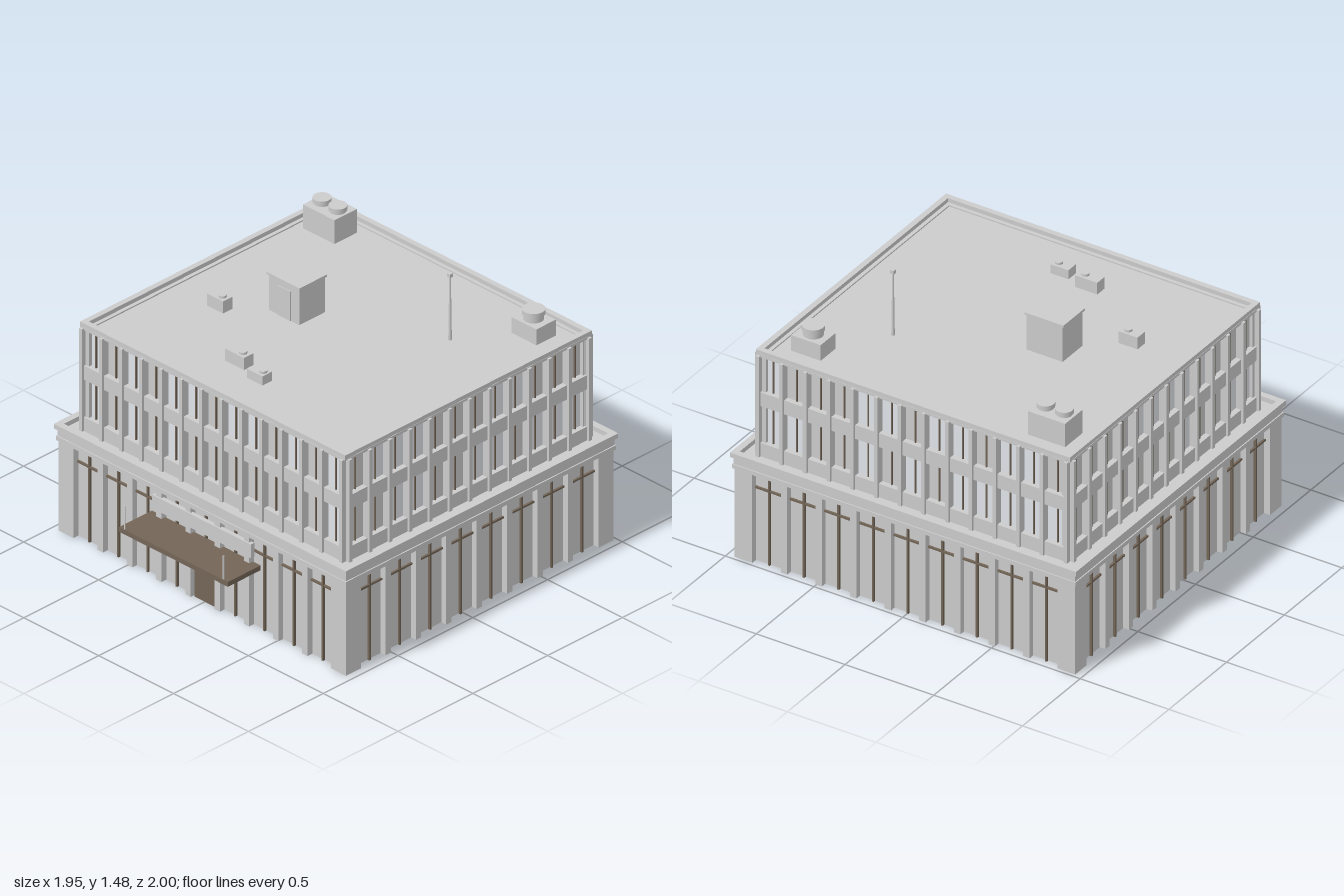
import * as THREE from 'three';

const grey = new THREE.MeshStandardMaterial({ color: 0xcccccc });
const glass = new THREE.MeshStandardMaterial({ color: 0xe0e4ea });
const bronze = new THREE.MeshStandardMaterial({ color: 0x736657 });

const CZ = -0.087;                      // the block sits behind the canopy
const BASE = { x: 0.96, z: 0.895 };     // half sizes of the ground floor
const UPPER = { x: 0.875, z: 0.815 };   // half sizes of the upper floors

// Box given by its limits on each axis
function box(parent, name, x0, x1, y0, y1, z0, z1, mat = grey) {
  const m = new THREE.Mesh(new THREE.BoxGeometry(x1 - x0, y1 - y0, z1 - z0), mat);
  m.position.set((x0 + x1) / 2, (y0 + y1) / 2, (z0 + z1) / 2);
  m.name = name;
  parent.add(m);
}

function cylinder(parent, name, x, z, y0, y1, rBottom, rTop = rBottom, sides = 24) {
  const m = new THREE.Mesh(new THREE.CylinderGeometry(rTop, rBottom, y1 - y0, sides), grey);
  m.position.set(x, (y0 + y1) / 2, z);
  m.name = name;
  parent.add(m);
}

// Rectangular ring with a hole, standing between y0 and y1
function ring(parent, name, hx, hz, width, y0, y1) {
  const rect = (P, a, b) => new P([[-a, -b], [a, -b], [a, b], [-a, b]].map(p => new THREE.Vector2(...p)));
  const shape = rect(THREE.Shape, hx, hz);
  shape.holes.push(rect(THREE.Path, hx - width, hz - width));
  const geo = new THREE.ExtrudeGeometry(shape, { depth: y1 - y0, bevelEnabled: false });
  geo.rotateX(-Math.PI / 2);
  const m = new THREE.Mesh(geo, grey);
  m.position.y = y0;
  m.name = name;
  parent.add(m);
}

// Ground floor side: piers, glazed bays with a mullion and a transom
function shopFront(half, out, bays, hasDoor) {
  const g = new THREE.Group();
  g.name = 'groundFloorSide';
  const inner = half - 0.1, pier = 0.036;
  const pitch = (2 * inner + pier) / bays;
  box(g, 'shopWindow', -inner, inner, 0, 0.52, out - 0.045, out - 0.035);
  box(g, 'innerLining', -inner, inner, 0, 0.52, out - 0.052, out - 0.045, glass);
  for (let i = 0; i < bays; i++) {
    const c = (i - (bays - 1) / 2) * pitch, w = (pitch - pier) / 2;
    const door = hasDoor && i === (bays - 1) / 2;
    if (i) box(g, 'pier', c - w - pier, c - w, 0, 0.52, out - 0.06, out - 0.003);
    box(g, 'mullion', c - 0.005, c + 0.005, door ? 0.195 : 0, 0.5, out - 0.04, out - 0.022, bronze);
    box(g, 'transom', c - w, c + w, 0.405, 0.415, out - 0.04, out - 0.024, bronze);
    if (door) box(g, 'entranceDoor', c - 0.07, c + 0.07, 0, 0.195, out - 0.04, out - 0.018, bronze);
  }
  return g;
}

// Upper side: two rows of windows between slim pilasters
function windowSide(count, out, seed) {
  const g = new THREE.Group();
  g.name = 'upperFloorsSide';
  const pitch = 0.1335, half = count * pitch / 2;
  for (const [y0, y1] of [[0.56, 0.635], [0.84, 0.917], [1.112, 1.125]])
    box(g, 'spandrel', -half, half, y0, y1, out - 0.04, out + 0.012);
  for (let i = 0; i <= count; i++) {
    const x = -half + i * pitch;
    box(g, 'pilaster', x - 0.01, x + 0.01, 0.56, 1.12, out - 0.03, out + 0.025);
    if (i === count) break;
    const c = x + pitch / 2;
    for (const [y0, y1] of [[0.635, 0.84], [0.917, 1.112]]) {
      seed = (seed * 16807) % 2147483647;
      const lit = seed % 100 < 48;
      box(g, 'windowPane', c - 0.058, c + 0.058, y0, y1, out - 0.035, out - 0.018, lit ? glass : grey);
      box(g, 'windowMullion', c - 0.003, c + 0.003, y0, y1, out - 0.03, out - 0.01, bronze);
    }
  }
  return g;
}

// Rooftop cooling unit with round fans
function coolingUnit(parent, x0, x1, z0, z1, top, fans, r, fanTop) {
  const g = new THREE.Group();
  g.name = 'coolingUnit';
  box(g, 'unitHousing', x0, x1, 1.11, top, z0, z1);
  for (const x of fans) {
    cylinder(g, 'fanDrum', x, (z0 + z1) / 2, top, fanTop - 0.02, r * 0.88);
    cylinder(g, 'fanCap', x, (z0 + z1) / 2, fanTop - 0.025, fanTop, r);
  }
  parent.add(g);
}

export function createModel() {
  const model = new THREE.Group();
  model.name = 'commercialBuilding';
  const block = new THREE.Group();
  block.name = 'buildingBlock';
  block.position.z = CZ;
  model.add(block);

  // Four sides of both storeys
  for (let i = 0; i < 4; i++) {
    const wide = i % 2 === 0;
    const half = wide ? BASE.x : BASE.z, out = wide ? BASE.z : BASE.x;
    const shop = shopFront(half, out, wide ? 9 : 8, i === 0);
    const upper = windowSide(wide ? 13 : 12, wide ? UPPER.z : UPPER.x, 7919 + i * 4421);
    shop.rotation.y = upper.rotation.y = i * Math.PI / 2;
    block.add(shop, upper);
  }

  // Corner piers
  for (const sx of [-1, 1]) for (const sz of [-1, 1]) {
    const a = sx * (BASE.x - 0.05), b = sz * (BASE.z - 0.05);
    box(block, 'cornerPier', a - 0.05, a + 0.05, 0, 0.52, b - 0.05, b + 0.05);
    const c = sx * (UPPER.x - 0.02), d = sz * (UPPER.z - 0.02);
    box(block, 'upperCorner', c - 0.02, c + 0.02, 0.55, 1.12, d - 0.02, d + 0.02);
  }

  // Cornice and ledge over the ground floor
  ring(block, 'lowerCornice', 0.968, 0.904, 0.055, 0.497, 0.52);
  box(block, 'ledgeSlab', -0.962, 0.962, 0.52, 0.56, -0.898, 0.898);
  ring(block, 'upperCornice', 0.975, 0.911, 0.034, 0.56, 0.585);

  // Upper core and roof edge
  box(block, 'upperCore', -0.845, 0.845, 0.56, 1.11, -0.785, 0.785);
  box(block, 'roofDeck', -0.87, 0.87, 1.105, 1.118, -0.81, 0.81);
  ring(block, 'parapet', 0.885, 0.825, 0.03, 1.118, 1.147);

  // Entrance canopy, rods at its front edge, blank panel on the wall above
  box(model, 'canopy', -0.363, 0.363, 0.32, 0.346, 0.78, 1.0, bronze);
  box(model, 'wallPanel', -0.33, 0.33, 0.385, 0.46, 0.79, 0.813);
  for (const x of [-0.33, 0.33])
    box(model, 'canopyRod', x - 0.003, x + 0.003, 0.346, 0.475, 0.992, 0.998);

  // Stair house
  box(model, 'stairHouse', -0.367, -0.163, 1.11, 1.315, -0.178, -0.005);
  box(model, 'stairHouseRoof', -0.375, -0.155, 1.313, 1.325, -0.183, 0.002);
  box(model, 'stairHouseDoor', -0.305, -0.22, 1.115, 1.28, -0.01, -0.001);

  // Cooling units
  coolingUnit(model, -0.79, -0.58, -0.807, -0.657, 1.248, [-0.737, -0.632], 0.045, 1.28);
  coolingUnit(model, 0.597, 0.763, -0.793, -0.663, 1.205, [0.68], 0.056, 1.26);

  // Small vents
  for (const [x0, x1, z0, z1, top, cap] of [
    [-0.603, -0.495, 0.108, 0.173, 1.183, -0.53],
    [-0.178, -0.053, 0.413, 0.476, 1.183, -0.09],
    [0.01, 0.112, 0.452, 0.517, 1.168, 0.084]]) {
    box(model, 'roofVent', x0, x1, 1.11, top, z0, z1);
    cylinder(model, 'ventCap', cap, (z0 + z1) / 2, top, top + 0.012, 0.02);
  }

  // Mast
  cylinder(model, 'mast', 0.436, -0.413, 1.11, 1.47, 0.009, 0.004, 10);
  box(model, 'mastHead', 0.426, 0.446, 1.462, 1.482, -0.423, -0.403);

  return model;
}
